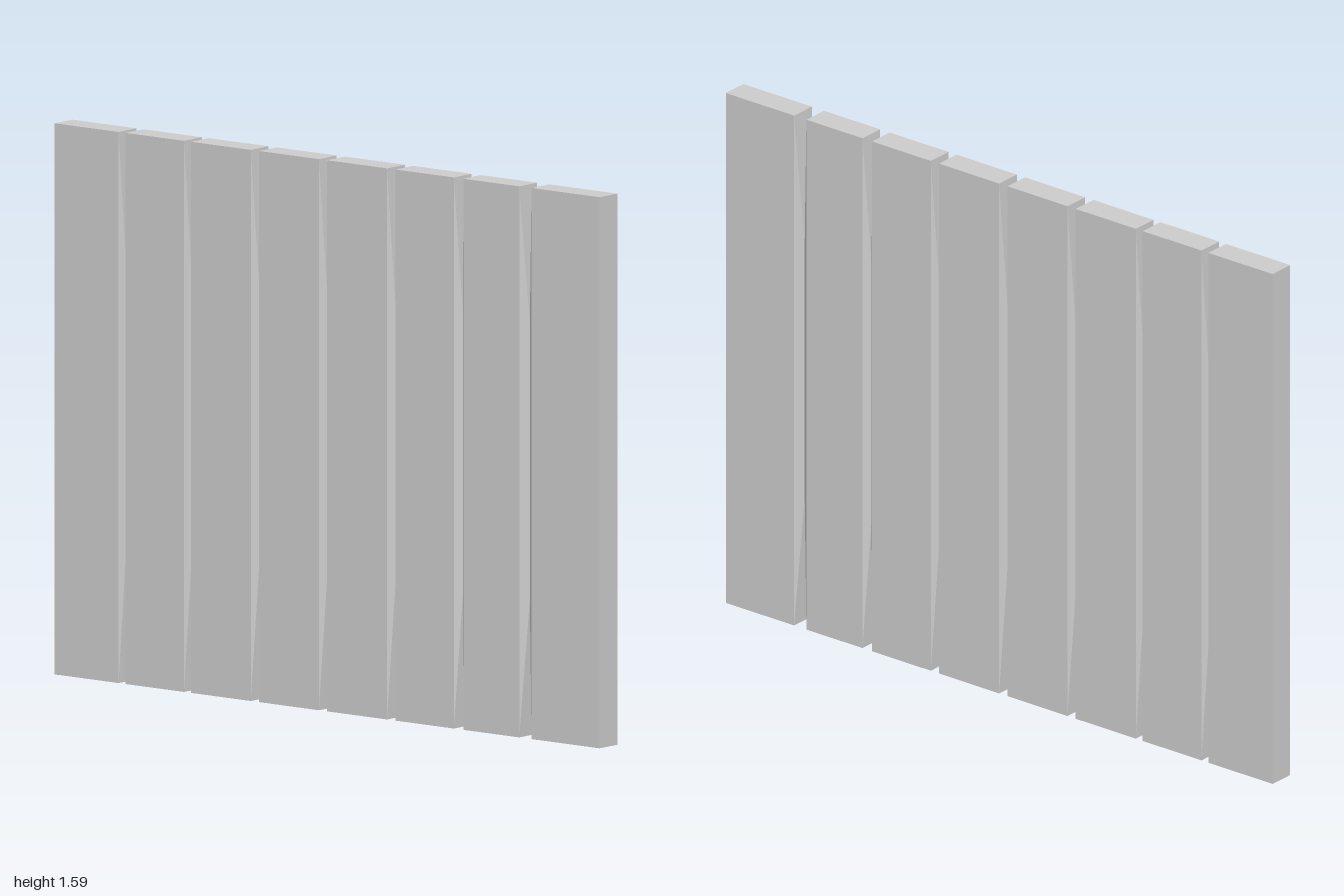
import * as THREE from 'three';

const HEIGHT = 1.59;
const DEPTH = 0.08;

// Left and right edge of each plank
const PLANKS = [
  [-1, -0.765], [-0.74, -0.525], [-0.5, -0.28], [-0.25, -0.03],
  [0, 0.22], [0.25, 0.465], [0.5, 0.705], [0.75, 1],
];

export function createModel() {
  const group = new THREE.Group();
  group.name = 'plankPanel';
  const material = new THREE.MeshStandardMaterial({ color: 0xcccccc, flatShading: true });

  // Shallow four-sided point on a plank's side, direction +1 or -1 along x
  function sidePoint(x, length, direction) {
    const geometry = new THREE.ConeGeometry(Math.SQRT1_2, 1, 4, 1, true);
    geometry.rotateY(Math.PI / 4).translate(0, 0.5, 0).rotateZ(-direction * Math.PI / 2);
    geometry.scale(length, HEIGHT, DEPTH);
    const mesh = new THREE.Mesh(geometry, material);
    mesh.name = 'plankSidePoint';
    mesh.position.set(x, HEIGHT / 2, 0);
    return mesh;
  }

  PLANKS.forEach(([left, right], i) => {
    const plank = new THREE.Group();
    plank.name = `plank${i + 1}`;

    // Flat board
    const board = new THREE.Mesh(new THREE.BoxGeometry(right - left, HEIGHT, DEPTH), material);
    board.name = 'board';
    board.position.set((left + right) / 2, HEIGHT / 2, 0);
    plank.add(board);

    // Pointed sides that interlock across the gaps; outer ends stay flat
    if (i > 0) plank.add(sidePoint(left, left - PLANKS[i - 1][1], -1));
    if (i < PLANKS.length - 1) plank.add(sidePoint(right, PLANKS[i + 1][0] - right, 1));
    group.add(plank);
  });

  return group;
}
